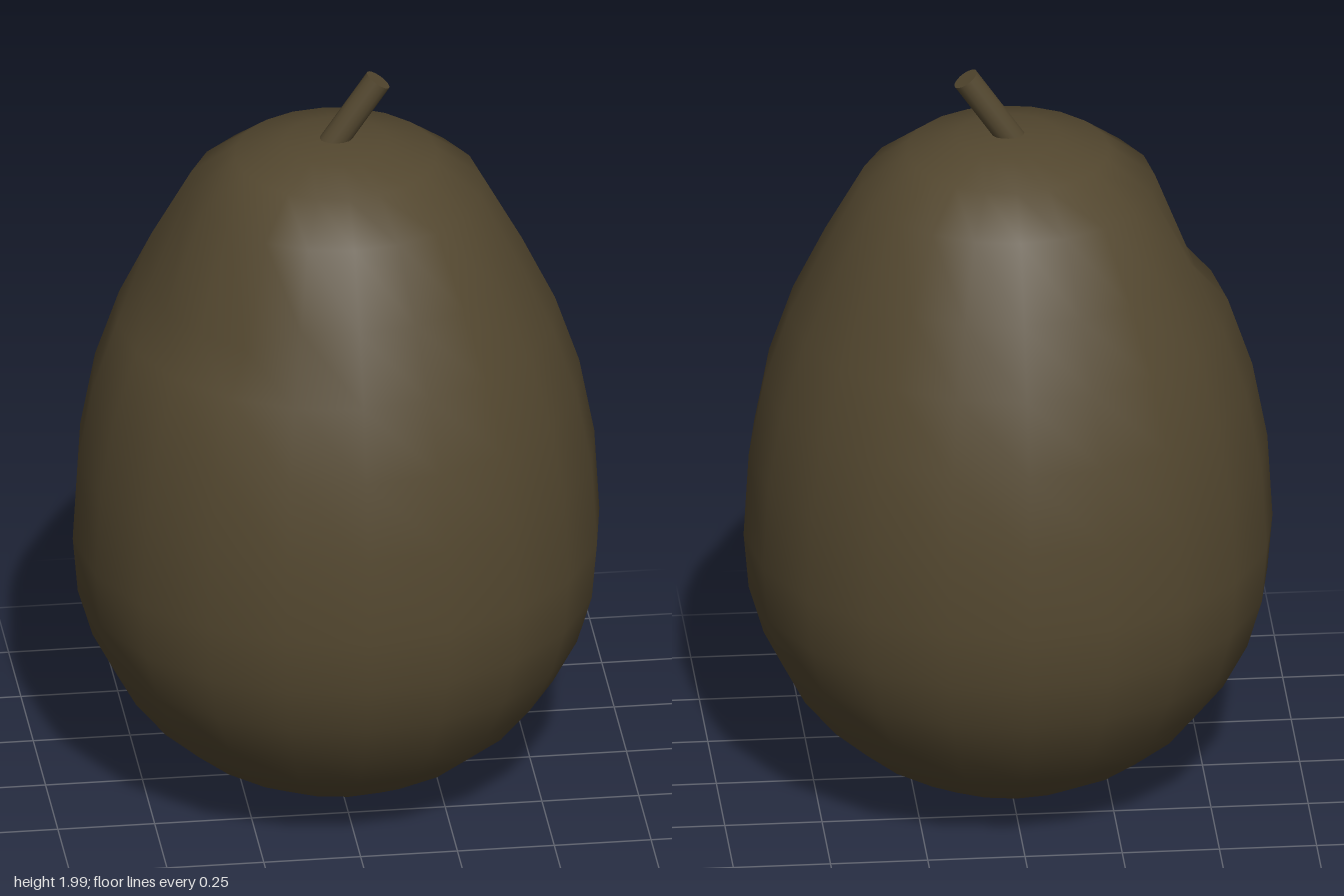
import * as THREE from 'three';
import { mergeVertices } from 'three/addons/utils/BufferGeometryUtils.js';

const SEGMENTS = 20, RINGS = 16, RADIUS = 0.68;

// Height of each ring of the fruit, from the crown to the base
const ringHeights = [1.825, 1.813, 1.775, 1.687, 1.5, 1.325, 1.14, 0.935, 0.71,
  0.56, 0.43, 0.31, 0.205, 0.12, 0.055, 0.02, 0.005];

function fruitGeometry() {
  let geometry = new THREE.SphereGeometry(RADIUS, SEGMENTS, RINGS);
  const pos = geometry.attributes.position;
  for (let i = 0; i < pos.count; i++) {
    const ring = Math.floor(i / (SEGMENTS + 1));
    const column = (i % (SEGMENTS + 1)) % SEGMENTS;
    // A shallow dent in the shoulder on one side
    const dent = ring === 4 && column <= 3 ? 0.075 : 0;
    pos.setY(i, ringHeights[ring] - dent);
  }
  // Weld the seam so the skin is smooth all round
  geometry.deleteAttribute('uv');
  geometry.deleteAttribute('normal');
  geometry = mergeVertices(geometry, 1e-4);
  geometry.computeVertexNormals();
  return geometry;
}

export function createModel() {
  const group = new THREE.Group();
  const skin = new THREE.MeshStandardMaterial({ color: 0x53472f });
  skin.name = 'dark olive brown';

  const fruit = new THREE.Mesh(fruitGeometry(), skin);
  fruit.name = 'fruit';
  group.add(fruit);

  // Leaning stem, its foot sunk into the crown
  const tilt = 0.6, length = 0.28;
  const stemGeometry = new THREE.CylinderGeometry(0.035, 0.035, length, 16);
  stemGeometry.translate(0, -length / 2, 0);
  const stem = new THREE.Mesh(stemGeometry, skin);
  stem.name = 'stem';
  stem.position.set(0.109, 1.98, 0);
  stem.rotation.z = -tilt;
  group.add(stem);

  return group;
}
